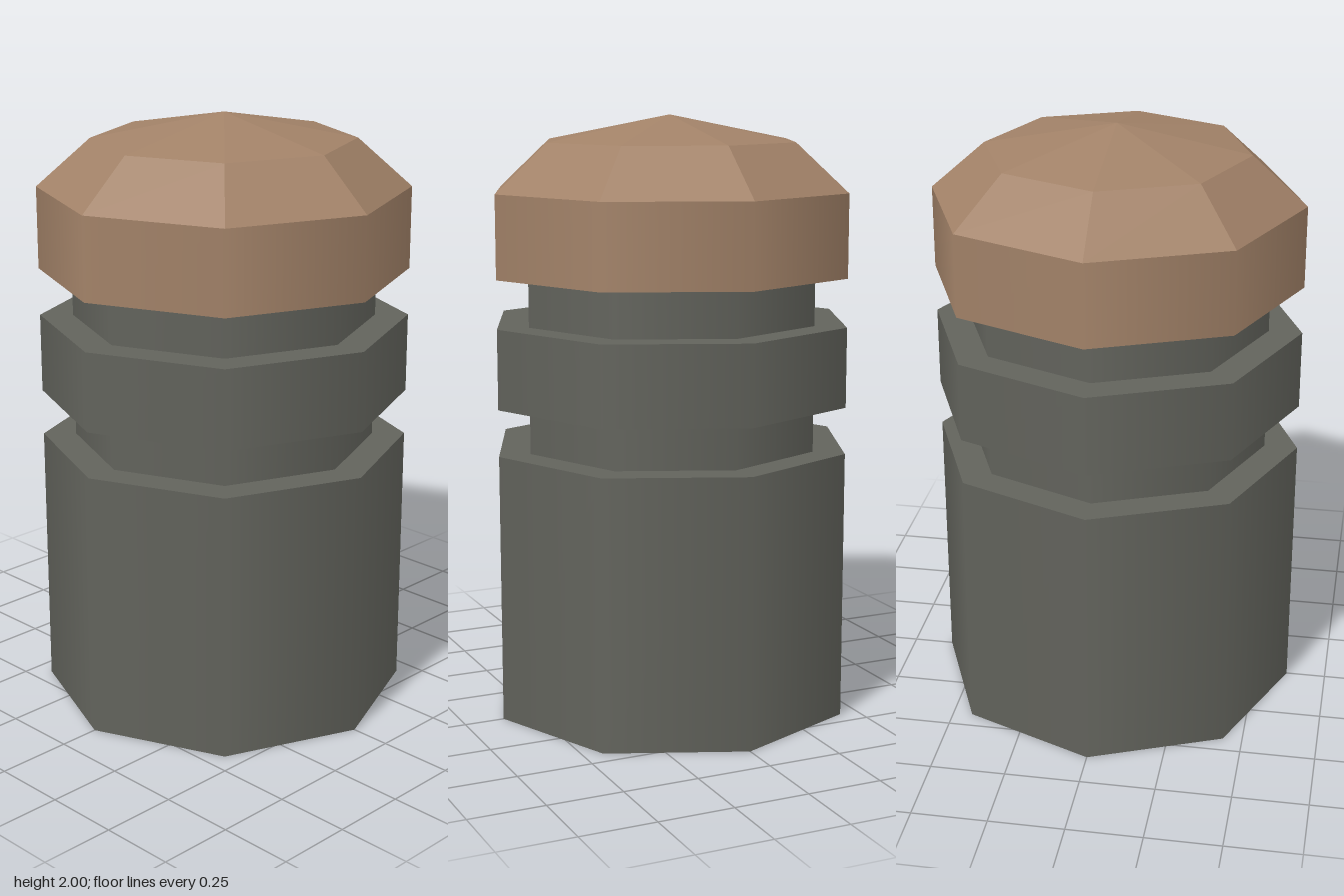
import * as THREE from 'three';

const SIDES = 8;
const R = 0.615;      // outer radius
const NECK = 0.505;   // groove radius

export function createModel() {
  const group = new THREE.Group();
  group.name = 'bollard';

  const grey = new THREE.MeshStandardMaterial({ color: 0x62635c, side: THREE.DoubleSide });
  grey.name = 'dark grey';
  const brown = new THREE.MeshStandardMaterial({ color: 0xa28268, side: THREE.DoubleSide });
  brown.name = 'brown';

  const add = (name, geometry, material) => {
    const mesh = new THREE.Mesh(geometry, material);
    mesh.name = name;
    group.add(mesh);
  };

  // Open eight-sided band with smooth walls, or flat facets for the dome
  const band = (name, material, y0, y1, rBottom, rTop, faceted = false) => {
    let g = new THREE.CylinderGeometry(rTop, rBottom, y1 - y0, SIDES, 1, true);
    g.translate(0, (y0 + y1) / 2, 0);
    if (faceted) {
      g = g.toNonIndexed();
      g.computeVertexNormals();
    }
    add(name, g, material);
  };

  // Flat ring joining a groove to a wider band
  const ledge = (name, y, facing) => {
    const g = new THREE.RingGeometry(NECK, R, SIDES);
    g.rotateX(-facing * Math.PI / 2);
    g.translate(0, y, 0);
    add(name, g, grey);
  };

  // Post, open at the bottom, with two grooves
  band('post', grey, 0, 0.9, R, R);
  ledge('postTop', 0.9, 1);
  band('lowerGroove', grey, 0.9, 1.055, NECK, NECK);
  ledge('collarUnderside', 1.055, -1);
  band('collar', grey, 1.055, 1.32, R, R);
  ledge('collarTop', 1.32, 1);
  band('upperGroove', grey, 1.32, 1.48, NECK, NECK);
  ledge('capUnderside', 1.48, -1);

  // Cap with a faceted dome
  band('capWall', brown, 1.48, 1.755, R, R);
  band('domeBevel', brown, 1.755, 1.915, R, 0.435, true);
  band('domeTop', brown, 1.915, 2, 0.435, 0, true);

  return group;
}
